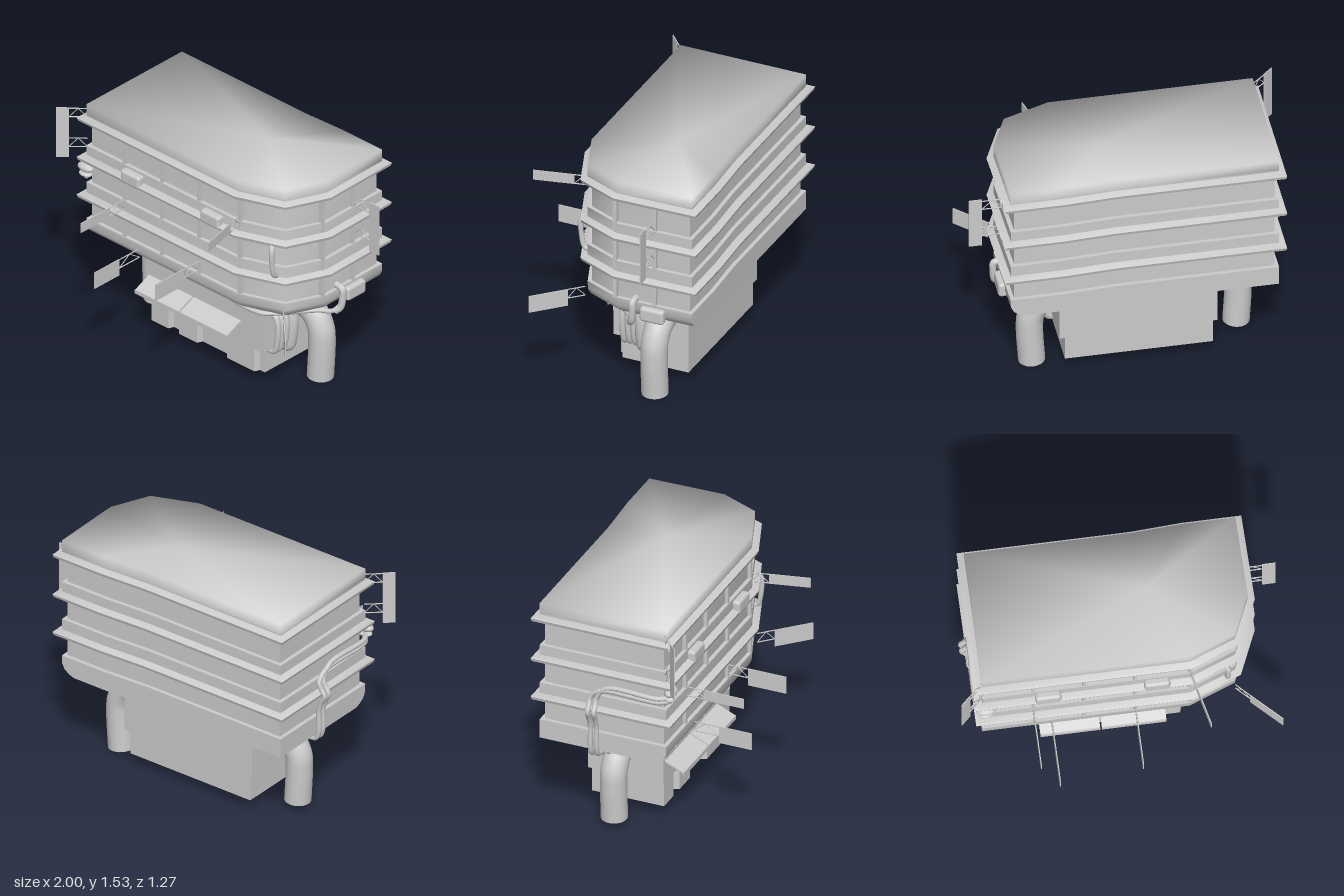
import * as THREE from 'three';
import { toCreasedNormals } from 'three/addons/utils/BufferGeometryUtils.js';
import { RoundedBoxGeometry } from 'three/addons/geometries/RoundedBoxGeometry.js';

const grey = new THREE.MeshStandardMaterial({ color: 0xcccccc });
const V = (p) => new THREE.Vector3(...p);

// Plan of the tank wall (x, z), walked from the front left corner
const plan = [[-0.86, 0.26], [0.4, 0.26], [0.69, 0.15], [0.8, -0.1], [0.79, -0.592], [0.47, -0.592], [0.15, -0.575], [-0.86, -0.575]];

// Plan at height y, edges moved outward by d (back and left edges by dBack)
function ring(y, d, dBack = d) {
  const n = plan.length;
  const edges = plan.map(([x, z], i) => {
    const [x2, z2] = plan[(i + 1) % n];
    const len = Math.hypot(x2 - x, z2 - z);
    const nx = -(z2 - z) / len, nz = (x2 - x) / len;
    return [nx, nz, nx * x + nz * z + (i > 3 ? dBack : d)];
  });
  return edges.map((b, i) => {
    const a = edges[(i + n - 1) % n];
    const det = a[0] * b[1] - a[1] * b[0];
    return [(a[2] * b[1] - a[1] * b[2]) / det, y, (a[0] * b[2] - a[2] * b[0]) / det];
  });
}

// Skin over rings from bottom to top, with optional end caps
function loft(rings, capBottom, capTop, crease) {
  const n = rings[0].length, pos = rings.flat(2), index = [];
  for (let r = 0; r < rings.length - 1; r++) {
    for (let i = 0; i < n; i++) {
      const a = r * n + i, b = r * n + (i + 1) % n;
      index.push(a, b, b + n, a, b + n, a + n);
    }
  }
  const cap = (r, up) => {
    const c = pos.length / 3;
    for (let k = 0; k < 3; k++) pos.push(rings[r].reduce((s, p) => s + p[k], 0) / n);
    for (let i = 0; i < n; i++) {
      const a = r * n + i, b = r * n + (i + 1) % n;
      index.push(...(up ? [c, a, b] : [c, b, a]));
    }
  };
  if (capBottom) cap(0, false);
  if (capTop) cap(rings.length - 1, true);
  const g = new THREE.BufferGeometry();
  g.setAttribute('position', new THREE.Float32BufferAttribute(pos, 3));
  g.setIndex(index);
  return toCreasedNormals(g, crease);
}

export function createModel() {
  const model = new THREE.Group();
  const add = (name, geo, parent = model) => {
    const m = new THREE.Mesh(geo, grey);
    m.name = name;
    parent.add(m);
    return m;
  };
  const box = (name, x0, x1, y0, y1, z0, z1, parent) => {
    const m = add(name, new THREE.BoxGeometry(x1 - x0, y1 - y0, z1 - z0), parent);
    m.position.set((x0 + x1) / 2, (y0 + y1) / 2, (z0 + z1) / 2);
    return m;
  };
  const pipe = (name, pts, r, sides = 12) => {
    const curve = new THREE.CatmullRomCurve3(pts.map(V), false, 'centripetal');
    add(name, new THREE.TubeGeometry(curve, pts.length * 7, r, sides));
    for (const t of [0, 1]) {
      const end = add(name + 'End', new THREE.CircleGeometry(r, sides));
      end.position.copy(curve.getPointAt(t));
      end.lookAt(end.position.clone().addScaledVector(curve.getTangentAt(t), t ? 1 : -1));
    }
  };
  const rod = (a, b, r, parent) => {
    const d = b.clone().sub(a);
    const m = add('trussRod', new THREE.CylinderGeometry(r, r, d.length(), 5), parent);
    m.position.copy(a).add(b).multiplyScalar(0.5);
    m.quaternion.setFromUnitVectors(new THREE.Vector3(0, 1, 0), d.normalize());
  };

  // Tank: rounded tub, recessed panels, raised bands and flanges
  add('tub', loft([
    ring(0.583, -0.17), ring(0.598, -0.09, 0), ring(0.61, -0.055, 0), ring(0.635, -0.02, 0),
    ring(0.67, -0.002, 0), ring(0.725, 0)], true, true, 0.85));
  const p = -0.025, wall = [ring(0.72, p)];
  for (const [y, top] of [[0.885, 0.98], [1.15, 1.24], [1.427, 1.46]]) {
    wall.push(ring(y - 0.012, p), ring(y - 0.012, 0.036), ring(y + 0.008, 0.042), ring(y + 0.014, 0.03), ring(y + 0.024, 0), ring(top, 0));
    if (top < 1.4) wall.push(ring(top, p));
  }
  add('tankWall', loft(wall, false, false, 0.85));
  add('lid', loft([ring(1.45, 0), ring(1.53, 0)], false, true, Math.PI));

  // Upright ribs on the front and side
  for (const x of [-0.55, -0.24, 0.07, 0.405]) box('frontRib', x - 0.012, x + 0.012, 0.72, 1.42, 0.22, 0.256);
  for (const z of [-0.08, -0.34]) box('sideRib', 0.76, 0.792, 0.72, 1.42, z - 0.012, z + 0.012);

  // Lower housing with ribs and sloping awnings
  box('housing', -0.515, 0.455, 0.25, 0.6, -0.412, 0.088);
  for (const x of [-0.5, -0.33, -0.13, 0.08, 0.3, 0.44]) box('housingRib', x - 0.006, x + 0.006, 0.41, 0.6, 0.08, 0.096);
  for (const [x0, x1] of [[-0.5, -0.137], [-0.127, 0.265]]) {
    const slab = box('awning', x0, x1, 0.367, 0.375, 0.083, 0.22);
    slab.rotation.x = 0.415;
    box('awningLip', x0, x1, 0.325, 0.35, 0.208, 0.217);
  }

  // Base block with notches along the front
  const notches = [[-0.35, -0.26], [-0.11, 0.14]];
  const s = new THREE.Shape();
  s.moveTo(-0.49, 0.395);
  s.lineTo(-0.49, -0.08);
  for (const [a, b] of notches) {
    s.lineTo(a, -0.08);
    s.lineTo(a + 0.015, -0.045);
    s.lineTo(b - 0.015, -0.045);
    s.lineTo(b, -0.08);
  }
  s.lineTo(0.365, -0.08);
  s.lineTo(0.38, -0.045);
  s.lineTo(0.42, -0.045);
  s.lineTo(0.42, 0.395);
  const base = add('base', new THREE.ExtrudeGeometry(s, { depth: 0.16, bevelEnabled: false }).rotateX(-Math.PI / 2));
  base.position.y = 0.08;
  box('baseTop', -0.49, 0.42, 0.235, 0.26, -0.395, 0.08);

  // Large elbow outlets
  pipe('rightOutlet', [[0.4, 0.465, -0.255], [0.48, 0.46, -0.255], [0.555, 0.425, -0.255], [0.602, 0.34, -0.255], [0.61, 0.24, -0.255], [0.597, 0.004, -0.255]], 0.083, 24);
  pipe('leftOutlet', [[-0.46, 0.49, -0.165], [-0.54, 0.485, -0.165], [-0.63, 0.45, -0.165], [-0.68, 0.37, -0.165], [-0.686, 0.27, -0.165], [-0.675, 0.05, -0.165]], 0.083, 24);

  // Looped hoses beside the housing
  for (const [z, r] of [[0.01, 0.018], [-0.027, 0.018], [-0.064, 0.018], [-0.115, 0.038]]) {
    const k = r > 0.03 ? 0.01 : 0;
    pipe('hose', [[0.43, 0.485, z], [0.475, 0.48 + k, z], [0.495, 0.43, z], [0.485, 0.28, z], [0.465, 0.235 - k, z], [0.4, 0.23 - k, z]], r);
  }

  // Drain pipe from the front to the side of the tub
  pipe('drainPipe', [[0.2, 0.55, 0.09], [0.22, 0.547, 0.115], [0.45, 0.547, 0.115], [0.51, 0.548, 0.07], [0.7, 0.562, -0.13], [0.78, 0.573, -0.17], [0.81, 0.61, -0.2]], 0.015);
  pipe('drainRiser', [[0.79, 0.573, -0.18], [0.815, 0.6, -0.2], [0.825, 0.68, -0.21], [0.82, 0.73, -0.21], [0.77, 0.74, -0.21]], 0.022);

  // Curved handle pipe on the front corner
  pipe('handlePipe', [[0.61, 1.13, 0.16], [0.625, 1.135, 0.195], [0.64, 1.11, 0.215], [0.64, 1.0, 0.213], [0.64, 0.93, 0.195], [0.635, 0.91, 0.165]], 0.016);

  // Valve and the pair of pipes running down the left wall
  for (const [y, rx, ry] of [[1.105, 0.06, 0.028], [1.062, 0.048, 0.016]]) {
    const cap = add('valveCap', new THREE.SphereGeometry(1, 20, 12));
    cap.scale.set(rx, ry, 0.036);
    cap.position.set(-0.84, y, 0.285);
  }
  for (const dz of [-0.02, 0.02]) {
    const z = -0.21 + dz, y = 1.05 + dz * 0.6;
    pipe('valvePipe', [[-0.84, y, 0.28], [-0.885, y, 0.22], [-0.885, y - 0.01, -0.15 + dz], [-0.888, 0.97, z], [-0.905, 0.93, z], [-0.928, 0.89, z], [-0.905, 0.84, z], [-0.886, 0.78, z], [-0.882, 0.62, z], [-0.86, 0.575, z], [-0.76, 0.567, z], [-0.71, 0.53, z], [-0.68, 0.48, z]], 0.016, 10);
  }

  // Lamp boxes
  const lamp = (x, y, z, w, h, d) => add('lamp', new RoundedBoxGeometry(w, h, d, 3, 0.02)).position.set(x, y, z);
  lamp(-0.462, 1.18, 0.275, 0.158, 0.09, 0.06);
  lamp(0.2, 1.18, 0.275, 0.158, 0.09, 0.06);
  lamp(0.8, 0.663, -0.335, 0.06, 0.095, 0.16);

  // Thin sign panel from b to c, carried from a by small trusses topped at the given heights
  const sign = (name, a, b, c, y0, y1, trussTops) => {
    const g = new THREE.Group();
    g.name = name;
    model.add(g);
    const dx = c[0] - b[0], dz = c[1] - b[1];
    const panel = add('panel', new THREE.BoxGeometry(Math.hypot(dx, dz), y1 - y0, 0.006), g);
    panel.position.set((b[0] + c[0]) / 2, (y0 + y1) / 2, (b[1] + c[1]) / 2);
    panel.rotation.y = -Math.atan2(dz, dx);
    for (const top of trussTops) {
      const at = (t, y) => new THREE.Vector3(a[0] + (b[0] - a[0]) * t, y, a[1] + (b[1] - a[1]) * t);
      const low = top - 0.06;
      rod(at(0, top), at(1, top), 0.004, g);
      rod(at(0, low), at(1, low), 0.004, g);
      rod(at(0, low), at(0.5, top), 0.003, g);
      rod(at(0.5, top), at(1, low), 0.003, g);
    }
  };
  sign('leftTallSign', [-0.86, 0.25], [-0.943, 0.325], [-1, 0.378], 1.15, 1.5, [1.495, 1.285]);
  sign('rightTallSign', [0.79, -0.345], [0.92, -0.345], [1, -0.345], 0.98, 1.325, [1.31, 1.11]);
  sign('upperFrontSign', [0.405, 0.25], [0.43, 0.36], [0.487, 0.61], 1.212, 1.278, [1.275]);
  sign('middleFrontSign', [-0.55, 0.25], [-0.55, 0.38], [-0.55, 0.635], 0.918, 0.985, [0.982]);
  sign('lowerFrontSign', [0.07, 0.25], [0.07, 0.385], [0.07, 0.635], 0.7, 0.815, [0.81]);
  sign('lowestFrontSign', [-0.435, 0.24], [-0.435, 0.42], [-0.435, 0.635], 0.572, 0.685, [0.68]);
  sign('cornerSign', [0.69, 0.165], [0.77, 0.245], [0.948, 0.42], 0.572, 0.685, [0.683]);

  return model;
}
